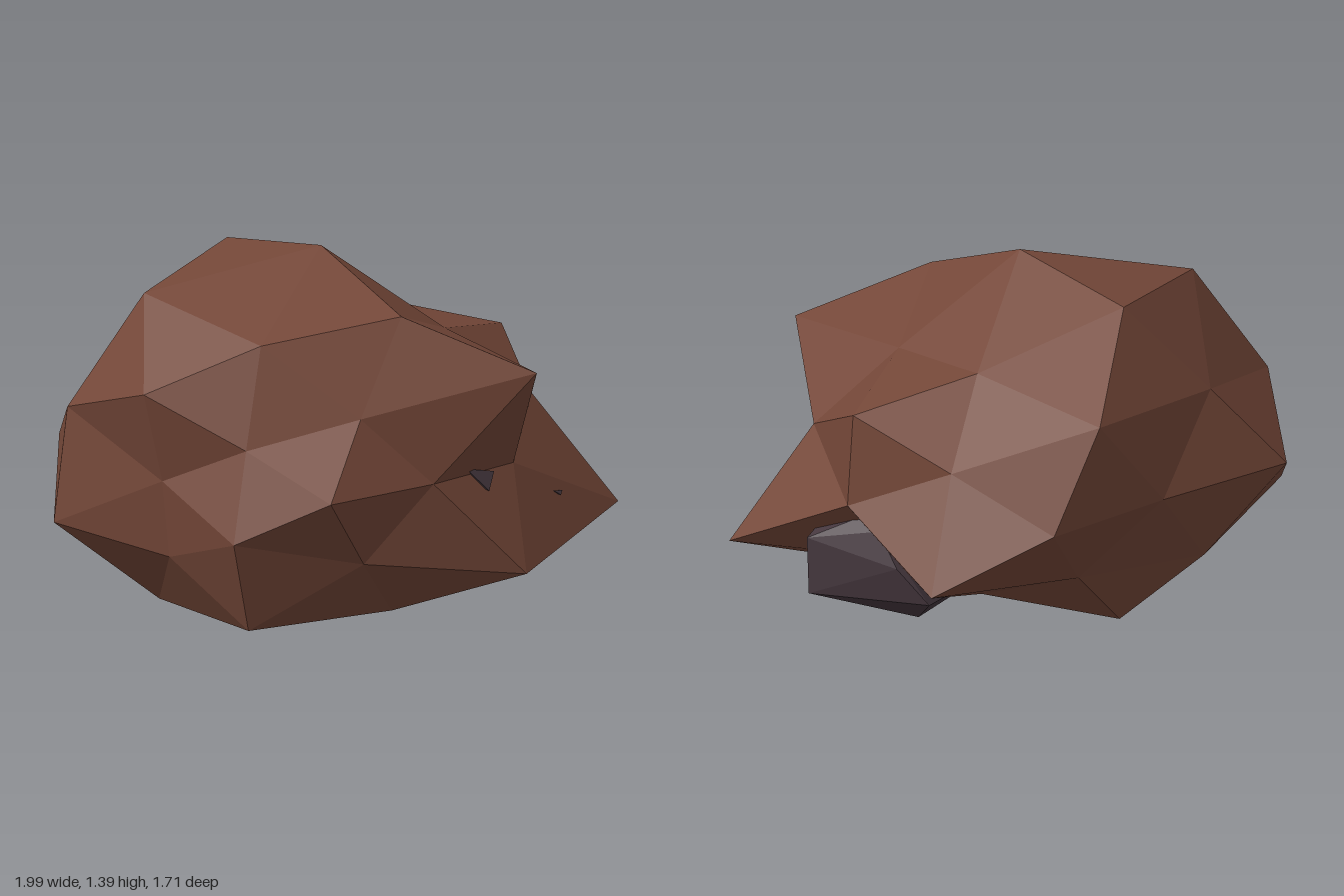
import * as THREE from 'three';
import { ConvexGeometry } from 'three/addons/geometries/ConvexGeometry.js';

// Radii of the boulder's corners, grouped by direction family.
// Within a family the order runs through the signs of the non-zero axes: +++, ++-, +-+ ...
const FAMILIES = [
  { dir: [1, 0, 0], radii: [0.785, 0.668] },
  { dir: [0, 1, 0], radii: [1.05, 0.8] },
  { dir: [0, 0, 1], radii: [0.70, 0.807] },
  { dir: [0, 0.851, 0.526], radii: [0.95, 1.11, 0.837, 1.065] },
  { dir: [0.526, 0, 0.851], radii: [0.735, 0.95, 0.83, 1.0] },
  { dir: [0.851, 0.526, 0], radii: [0.893, 0.68, 0.877, 0.75] },
  { dir: [0.5, 0.809, 0.309], radii: [0.735, 0.775, 0.7, 0.7, 0.87, 1.05, 1.05, 0.96] },
  { dir: [0.309, 0.5, 0.809], radii: [1.06, 1.05, 1.01, 0.77, 0.70, 0.90, 0.755, 0.87] },
  { dir: [0.809, 0.309, 0.5], radii: [0.773, 0.775, 1.09, 1.0, 0.67, 0.93, 0.78, 0.98] },
];

function cornerRadius(v) {
  const c = [v.x, v.y, v.z];
  const match = (f) => f.dir.reduce((s, d, i) => s + d * Math.abs(c[i]), 0);
  const family = FAMILIES.reduce((a, b) => (match(b) > match(a) ? b : a));
  let index = 0;
  c.forEach((k, i) => {
    if (family.dir[i] !== 0) index = index * 2 + (k < 0 ? 1 : 0);
  });
  return family.radii[index];
}

// Subdivided icosahedron, squashed, pushed in and out, and cut flat at the ground
function boulderGeometry() {
  const geo = new THREE.IcosahedronGeometry(1, 1).rotateY(Math.PI / 2);
  const pos = geo.attributes.position;
  const v = new THREE.Vector3();
  for (let i = 0; i < pos.count; i++) {
    v.fromBufferAttribute(pos, i);
    const r = cornerRadius(v);
    pos.setXYZ(i, -0.06 + 1.19 * r * v.x, Math.max(0, 0.565 + 0.785 * r * v.y), r * v.z);
  }
  geo.computeVertexNormals();
  return geo;
}

const hull = (points) => new ConvexGeometry(points.map((p) => new THREE.Vector3(...p)));

export function createModel() {
  const group = new THREE.Group();
  const brown = new THREE.MeshStandardMaterial({ color: 0x744738 });
  brown.name = 'brown rock';
  const dark = new THREE.MeshStandardMaterial({ color: 0x46383f });
  dark.name = 'dark stone';

  const add = (name, geometry, material) => {
    const mesh = new THREE.Mesh(geometry, material);
    mesh.name = name;
    group.add(mesh);
  };

  add('boulder', boulderGeometry(), brown);

  // Dark stone wedged under the left side
  add('embeddedStone', hull([
    [0.80, 0.50, 0.0], [0.80, 0.465, -0.10], [0.80, 0.335, -0.20], [0.72, 0.19, -0.30],
    [0.93, 0.40, 0.17], [0.92, 0.166, 0.17], [0.78, 0.44, 0.22], [0.60, 0.28, 0.34],
    [0.55, 0.10, 0.48], [0.25, 0.08, 0.45], [0.315, 0.0, 0.17], [0.60, 0.06, -0.115],
    [0.03, 0.03, 0.10],
  ]), dark);

  // Tips of the dark stone breaking through the front
  add('frontChip', hull([
    [0.13, 0.59, 0.67], [0.255, 0.565, 0.685], [0.215, 0.495, 0.705], [0.20, 0.52, 0.55],
  ]), dark);
  add('smallChip', hull([
    [0.60, 0.42, 0.63], [0.645, 0.415, 0.625], [0.63, 0.40, 0.635], [0.62, 0.40, 0.55],
  ]), dark);

  return group;
}
